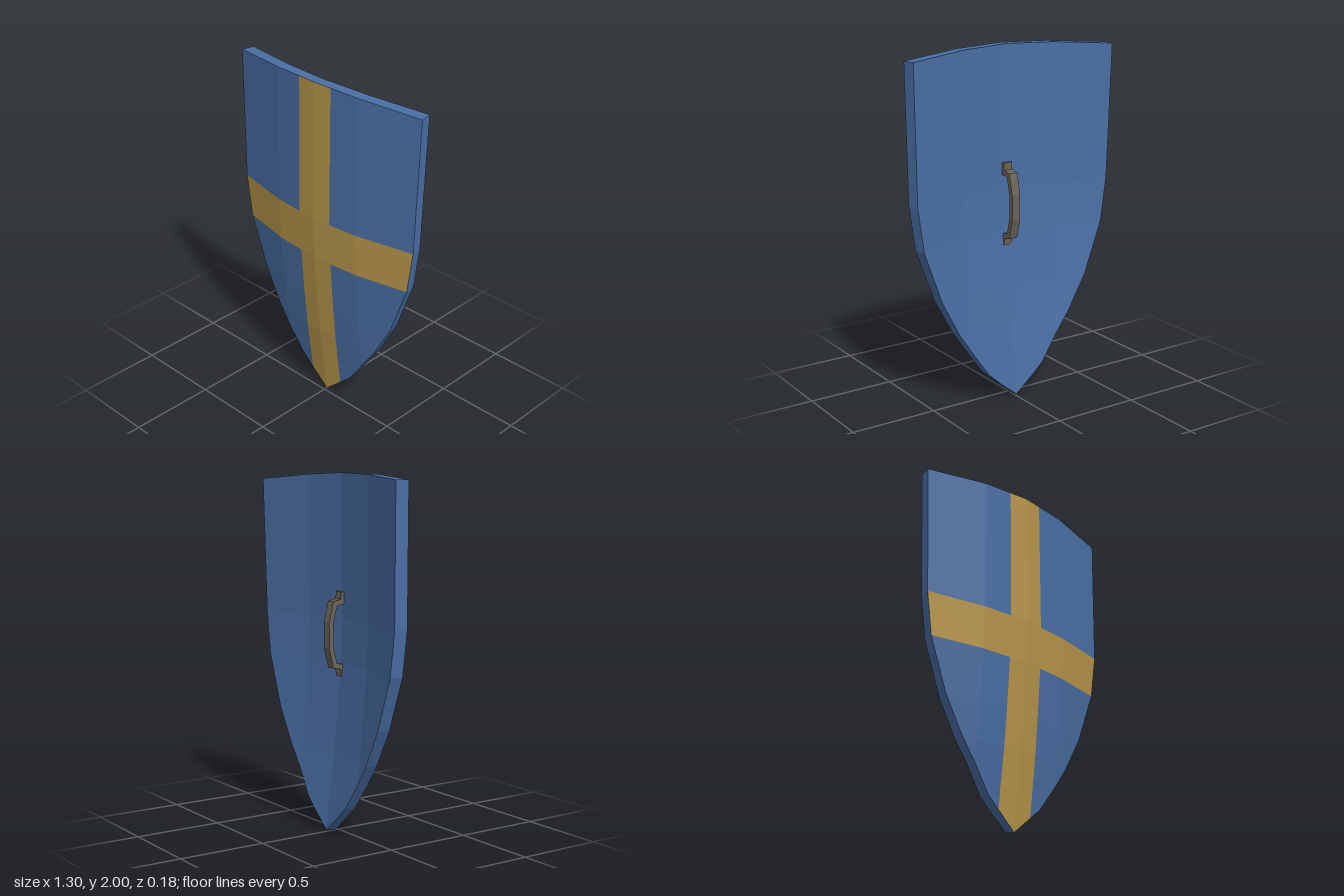
import * as THREE from 'three';

const blue = new THREE.MeshStandardMaterial({ color: 0x4a6fa5, flatShading: true, name: 'shieldBlue' });
const gold = new THREE.MeshStandardMaterial({ color: 0xb8964a, flatShading: true, name: 'crossGold' });
const iron = new THREE.MeshStandardMaterial({ color: 0x6b6358, flatShading: true, name: 'handleIron' });

// piecewise linear lookup through [input, output] pairs
function lerpTable(table, v) {
  for (let i = 1; i < table.length; i++) {
    const [a, fa] = table[i - 1], [b, fb] = table[i];
    if (v <= b) return fa + (fb - fa) * (v - a) / (b - a);
  }
  return table[table.length - 1][1];
}

// half width and forward bulge by height, backward sweep by distance from the middle
const HALF_WIDTH = [[0.004, 0], [0.17, 0.187], [0.44, 0.375], [0.65, 0.49], [0.95, 0.6], [1.2, 0.635], [2, 0.652]];
const BULGE = [[0, -0.02], [0.17, 0.0], [0.44, 0.035], [0.65, 0.055], [0.95, 0.079], [1.2, 0.088], [2, 0.081]];
const SWEEP = [[0, 0], [0.29, -0.024], [0.652, -0.1]];
const TOP_DROP = [[0, 0], [0.29, 0.009], [0.652, 0.035]];

const STRIPE = 0.113;
const COLS = [-1, -0.29, -STRIPE, 0, STRIPE, 0.29, 1];
const ROWS = [2, 1.2, 0.95, 0.65, 0.44, 0.318, 0.17, 0.104, 0.004];

// grid point on the front face, or on the back face set behind it
function point(r, c, back) {
  const w = lerpTable(HALF_WIDTH, ROWS[r]);
  const x = Math.max(-w, Math.min(w, COLS[c]));
  const y = ROWS[r] - (r === 0 ? lerpTable(TOP_DROP, Math.abs(x)) : 0);
  const z = lerpTable(BULGE, ROWS[r]) + lerpTable(SWEEP, Math.abs(x));
  if (!back) return new THREE.Vector3(x, y, z);
  return new THREE.Vector3(x * 0.978, y + (r === ROWS.length - 1 ? 0.01 : 0), z - 0.063 - 0.008 * Math.abs(x) / 0.65);
}

// corners counter-clockwise; collapsed triangles are skipped
function addQuad(list, a, b, c, d) {
  for (const [p, q, s] of [[a, b, c], [a, c, d]]) {
    const n = q.clone().sub(p).cross(s.clone().sub(p));
    if (n.length() > 1e-7) list.push(p, q, s);
  }
}

function meshFrom(name, list, material) {
  const g = new THREE.BufferGeometry().setFromPoints(list);
  g.computeVertexNormals();
  const m = new THREE.Mesh(g, material);
  m.name = name;
  return m;
}

export function createModel() {
  const group = new THREE.Group();
  group.name = 'shield';
  const field = [], cross = [], backFace = [], rim = [];
  const lastCol = COLS.length - 1;

  for (let r = 0; r < ROWS.length - 1; r++) {
    // front and back faces
    for (let c = 0; c < lastCol; c++) {
      const isCross = r === 1 || c === 2 || c === 3;
      addQuad(isCross ? cross : field, point(r, c), point(r + 1, c), point(r + 1, c + 1), point(r, c + 1));
      addQuad(backFace, point(r, c + 1, true), point(r + 1, c + 1, true), point(r + 1, c, true), point(r, c, true));
    }
    // side rims
    addQuad(rim, point(r, 0, true), point(r + 1, 0, true), point(r + 1, 0), point(r, 0));
    addQuad(rim, point(r, lastCol), point(r + 1, lastCol), point(r + 1, lastCol, true), point(r, lastCol, true));
  }
  // top rim
  for (let c = 0; c < lastCol; c++) {
    addQuad(rim, point(0, c), point(0, c + 1), point(0, c + 1, true), point(0, c, true));
  }
  group.add(
    meshFrom('frontField', field, blue),
    meshFrom('frontCross', cross, gold),
    meshFrom('backFace', backFace, blue),
    meshFrom('rim', rim, blue),
  );

  // grip: side profile as [z, y], mirrored about its middle height
  const mid = 1.115;
  const outer = [[0.002, 0.235], [0.0, 0.195], [-0.05, 0.185], [-0.078, 0.07]];
  const inner = [[-0.05, 0.065], [-0.026, 0.16], [0.03, 0.17], [0.03, 0.235]];
  const upper = [...outer, ...outer.slice().reverse().map(([z, y]) => [z, -y])];
  const lower = [...inner.slice().reverse().map(([z, y]) => [z, -y]), ...inner];
  const profile = [...upper, ...lower].map(([z, y]) => new THREE.Vector2(z, y + mid));
  const gripGeometry = new THREE.ExtrudeGeometry(new THREE.Shape(profile), { depth: 0.052, bevelEnabled: false });
  gripGeometry.translate(0, 0, -0.026).rotateY(-Math.PI / 2);
  const grip = new THREE.Mesh(gripGeometry, iron);
  grip.name = 'handle';
  group.add(grip);

  return group;
}
